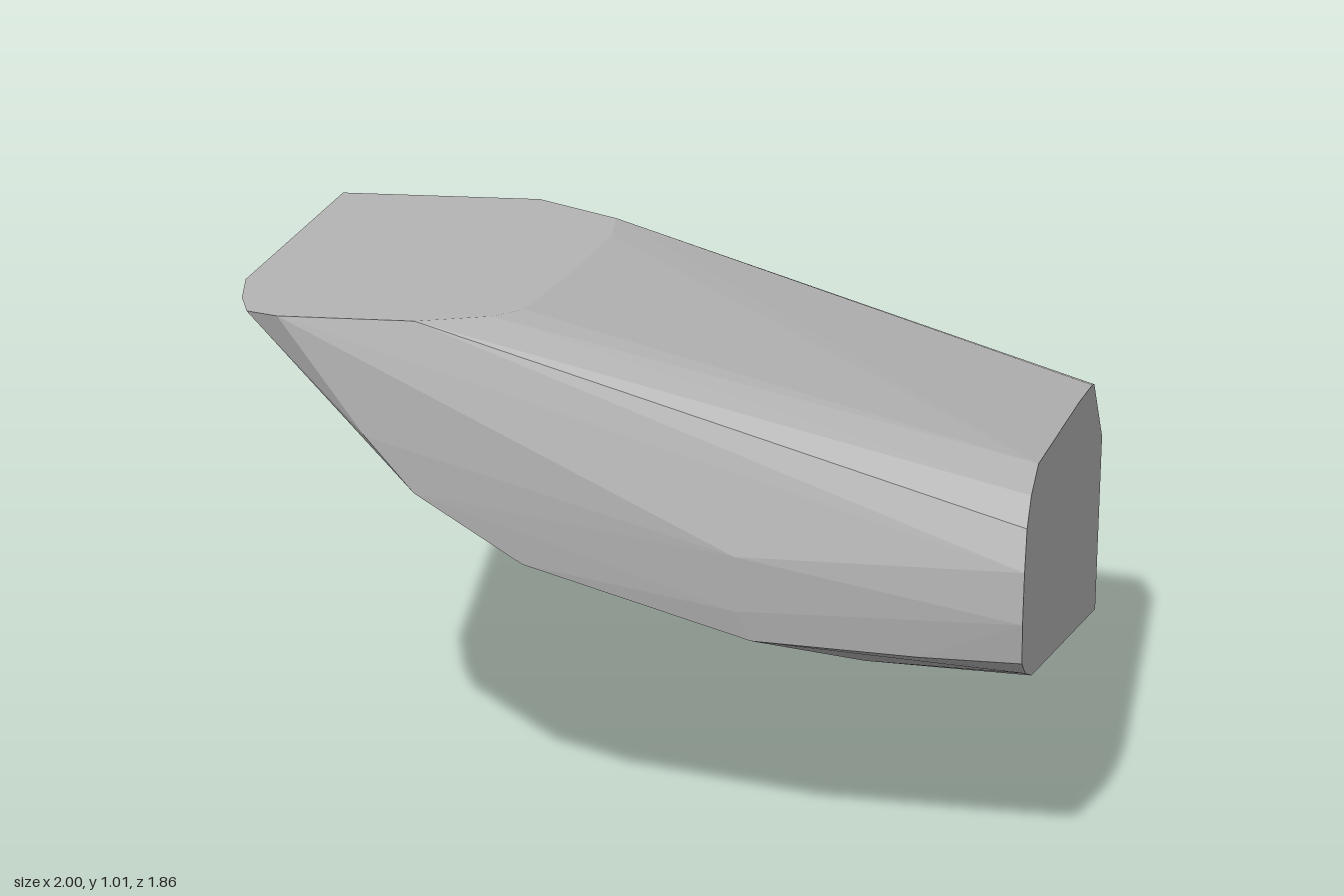
import * as THREE from 'three';
import { ConvexGeometry } from 'three/addons/geometries/ConvexGeometry.js';

const stone = new THREE.MeshStandardMaterial({ color: 0xb4b4b4 });
stone.name = 'grey stone';

// Outline of the flat top, as x, z at y = 1.02
const topOutline = [
  [-1, -0.93], [-0.71, 0.48], [-0.63, 0.7], [-0.56, 0.85], [-0.48, 0.89], [-0.2, 0.88],
  [-0.07, 0.79], [-0.03, 0.7], [-0.06, 0.25], [-0.12, -0.35], [-0.18, -0.63], [-0.46, -0.93],
];

// Outline of the flat end, as z, y at x = 1
const endOutline = [
  [-0.93, 0.47], [-0.61, 0.665], [-0.55, 0.675], [-0.2, 0.705], [0.71, 0.765], [0.83, 0.73],
  [0.89, 0.68], [0.91, 0.6], [0.915, 0.5], [0.9, 0.42], [0.83, 0.38], [0.71, 0.34],
  [0.56, 0.31], [-0.93, 0.02],
];

// Lower edge of the flat back, as x, y at z = -0.93
const backOutline = [
  [-0.96, 0.96], [-0.7, 0.65], [-0.39, 0.39], [0.2, 0.04], [0.32, 0.005], [0.5, 0.005],
];

// Rounded nose along the front, as x, y, z
const nose = [
  [-0.3, 0.79, 0.9], [-0.2, 0.68, 0.9], [0.02, 0.55, 0.9], [0.48, 0.43, 0.91],
  [0.8, 0.42, 0.905], [0.45, 0.49, 0.92], [0.45, 0.6, 0.928], [0.65, 0.302, 0.57],
];

export function createModel() {
  const points = [
    ...topOutline.map(([x, z]) => new THREE.Vector3(x, 1.02, z)),
    ...endOutline.map(([z, y]) => new THREE.Vector3(1, y, z)),
    ...backOutline.map(([x, y]) => new THREE.Vector3(x, y, -0.93)),
    ...nose.map((p) => new THREE.Vector3(...p)),
  ];

  // One faceted block spanning all the outlines
  const block = new THREE.Mesh(new ConvexGeometry(points), stone);
  block.name = 'stoneBlock';

  const group = new THREE.Group();
  group.name = 'facetedStone';
  group.add(block);
  return group;
}
